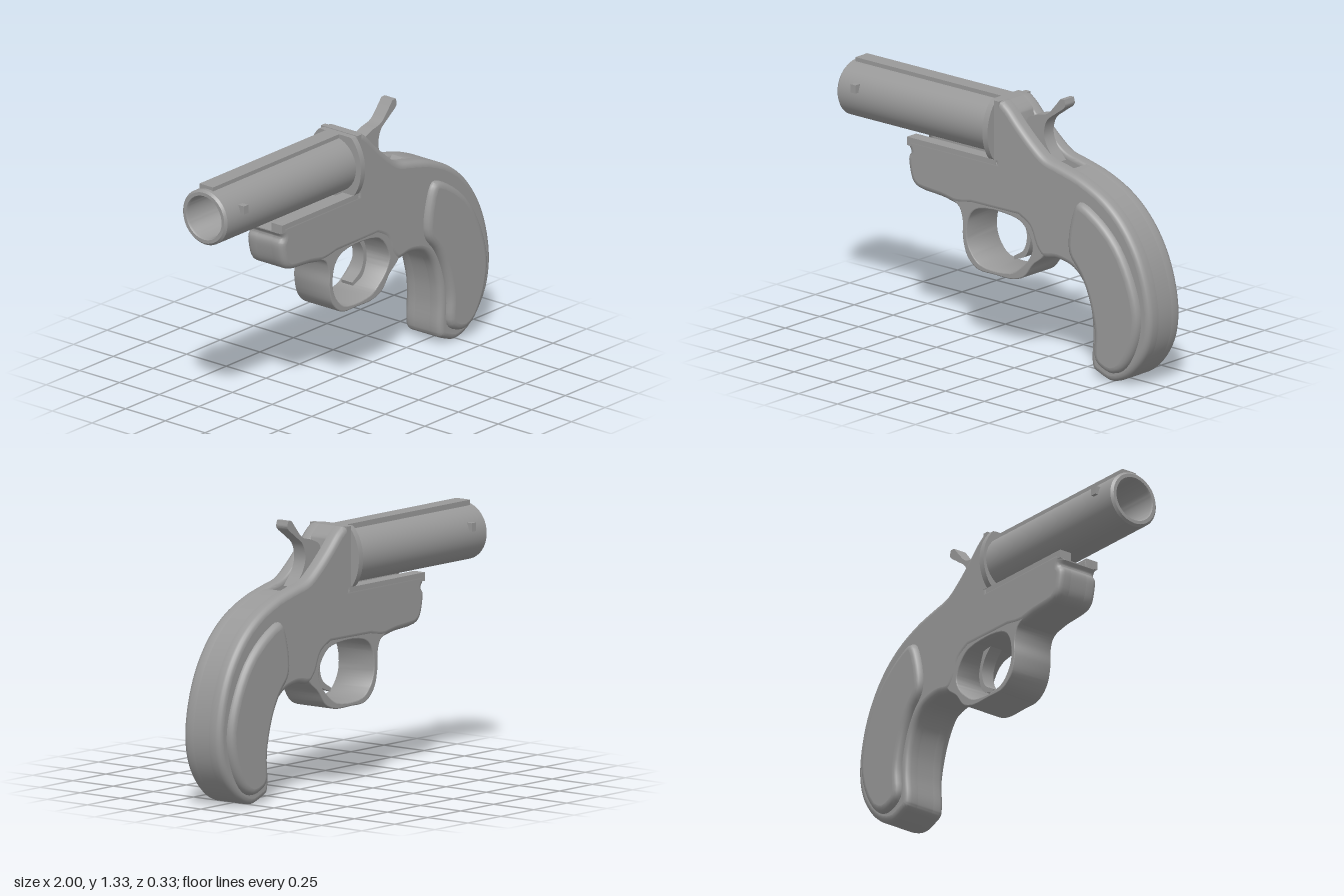
import * as THREE from 'three';
import { toCreasedNormals } from 'three/addons/utils/BufferGeometryUtils.js';

const material = new THREE.MeshStandardMaterial({ color: 0x999999, side: THREE.DoubleSide });
const vec = (list) => list.map(([x, y]) => new THREE.Vector2(x, y));

// Closed smooth outline or open smooth run through a few points
function smooth(list, closed = false, perPoint = 5) {
  const curve = new THREE.CatmullRomCurve3(list.map(([x, y]) => new THREE.Vector3(x, y, 0)), closed);
  const pts = curve.getPoints(list.length * perPoint).map((p) => new THREE.Vector2(p.x, p.y));
  if (closed) pts.pop();
  return pts;
}

// Extrudes an outline between z0 and z1 with rounded edges kept inside it
function slab(points, z0, z1, bevel = 0, hole = null) {
  const shape = new THREE.Shape(points);
  if (hole) shape.holes.push(new THREE.Path(hole));
  const flat = new THREE.ExtrudeGeometry(shape, {
    depth: z1 - z0 - 2 * bevel, bevelEnabled: bevel > 0, bevelThickness: bevel,
    bevelSize: bevel, bevelOffset: -bevel, bevelSegments: 4,
  });
  const geometry = toCreasedNormals(flat.clone(), 0.6);
  // The flat caps keep their straight normals
  const { start, count } = flat.groups[0];
  for (let i = start; i < start + count; i++) {
    geometry.attributes.normal.setXYZ(i, 0, 0, Math.sign(flat.attributes.normal.getZ(i)));
  }
  return geometry.translate(0, 0, z0 + bevel);
}

export function createModel() {
  const model = new THREE.Group();
  const add = (name, geometry) => {
    const mesh = new THREE.Mesh(geometry, material);
    mesh.name = name;
    model.add(mesh);
    return mesh;
  };
  const box = (name, x0, x1, y0, y1, z0, z1) => add(name, new THREE.BoxGeometry(x1 - x0, y1 - y0, z1 - z0)
    .translate((x0 + x1) / 2, (y0 + y1) / 2, (z0 + z1) / 2));

  // Frame outline: breech, back strap, butt, grip front, underside, fore end
  const outline = [
    ...vec([[0, 0.967], [0, 1.265]]),
    ...smooth([[0.045, 1.265], [0.085, 1.235], [0.15, 1.17], [0.24, 1.09], [0.32, 1.035], [0.42, 1.01],
      [0.55, 0.975], [0.7, 0.905], [0.82, 0.805], [0.92, 0.66], [0.98, 0.49], [0.997, 0.33],
      [0.97, 0.2], [0.9, 0.09], [0.82, 0.025], [0.74, 0.002], [0.67, 0.022], [0.628, 0.045],
      [0.617, 0.085], [0.622, 0.22], [0.61, 0.34], [0.57, 0.45], [0.5, 0.52],
      [0.4, 0.545], [0.305, 0.535], [0.258, 0.58], [0.215, 0.67], [0.15, 0.708]]),
    ...smooth([[-0.15, 0.705], [-0.25, 0.69], [-0.34, 0.705], [-0.5, 0.722], [-0.535, 0.75],
      [-0.557, 0.82], [-0.56, 0.87], [-0.545, 0.895], [-0.56, 0.92]], false, 3),
    ...vec([[-0.56, 0.967]]),
  ];

  // Two side halves, rounded outside and flat against the core
  const core = 0.047;
  for (const side of [1, -1]) {
    const prefix = side > 0 ? 'front' : 'back';
    const half = slab(outline, 0, 0.115, 0.03);
    const pos = half.attributes.position;
    for (let i = 0; i < pos.count; i++) pos.setZ(i, Math.max(pos.getZ(i), core));
    add(prefix + 'FrameHalf', half).scale.z = side;
    // Square-edged rail beside the groove under the barrel
    box(prefix + 'BarrelRail', -0.56, 0.01, 0.925, 0.967, core, 0.114).scale.z = side;
  }
  box('breechPlate', 0, 0.03, 0.967, 1.265, -0.115, 0.115);

  // Core with the hammer slot and the groove under the barrel
  const coreOutline = [];
  let slotCut = false;
  for (const p of outline) {
    if (p.x > 0.11 && p.x < 0.45 && p.y > 0.95) {
      if (!slotCut) coreOutline.push(...vec([[0.11, 1.205], [0.13, 1.0], [0.4, 0.95], [0.45, 1.0]]));
      slotCut = true;
    } else {
      coreOutline.push(new THREE.Vector2(p.x, p.x <= 0 && p.y < 1 ? Math.min(p.y, 0.925) : p.y));
    }
  }
  add('frameCore', slab(coreOutline, -core, core));

  // Trigger guard ring
  const guardOuter = smooth([[-0.28, 0.715], [-0.228, 0.68], [-0.207, 0.62], [-0.206, 0.54], [-0.18, 0.45],
    [-0.115, 0.393], [0, 0.386], [0.12, 0.388], [0.19, 0.416], [0.245, 0.485], [0.31, 0.54], [0.34, 0.61],
    [0.28, 0.7], [0.1, 0.75], [-0.15, 0.75]], true);
  const guardHole = smooth([[-0.1, 0.698], [-0.16, 0.65], [-0.178, 0.54], [-0.148, 0.465], [-0.09, 0.417],
    [0.1, 0.416], [0.165, 0.455], [0.222, 0.515], [0.242, 0.575], [0.2, 0.66], [0.14, 0.698]], true);
  add('triggerGuard', slab(guardOuter, -0.112, 0.112, 0.006, guardHole));

  // Curved trigger
  add('trigger', slab([
    ...smooth([[0.06, 0.72], [0.11, 0.67], [0.14, 0.6], [0.12, 0.52], [0.055, 0.475]]),
    ...smooth([[0.06, 0.458], [0.13, 0.49], [0.162, 0.57], [0.155, 0.63], [0.12, 0.72]]),
  ], -0.035, 0.035));

  // Hammer with a thumb spur
  add('hammer', slab([
    ...smooth([[0.15, 1.0], [0.14, 1.18], [0.2, 1.215], [0.27, 1.235], [0.32, 1.285], [0.355, 1.327]]),
    ...smooth([[0.38, 1.328], [0.385, 1.295], [0.33, 1.25], [0.268, 1.2], [0.25, 1.13], [0.27, 1.07], [0.33, 1.0]]),
  ], -0.035, 0.035));

  // Grip panels
  const panel = smooth([[0.555, 0.868], [0.66, 0.83], [0.81, 0.7], [0.915, 0.5], [0.945, 0.34], [0.905, 0.18],
    [0.83, 0.075], [0.755, 0.052], [0.665, 0.1], [0.66, 0.25], [0.62, 0.41], [0.57, 0.51],
    [0.495, 0.61], [0.51, 0.78]], true, 4);
  for (const side of [1, -1]) {
    add(side > 0 ? 'frontGripPanel' : 'backGripPanel', slab(panel, 0.06, 0.149, 0.033)).scale.z = side;
  }

  // Hollow barrel, muzzle towards -x
  const barrelProfile = vec([[0, 0], [0.14, 0], [0.14, 0.988], [0.129, 1], [0.112, 1], [0.106, 0.99],
    [0.106, 0.05], [0, 0.05]]);
  const barrel = toCreasedNormals(new THREE.LatheGeometry(barrelProfile, 64), 0.6);
  add('barrel', barrel.rotateZ(Math.PI / 2).translate(0, 1.106, -0.008));
  box('topRib', -0.97, -0.02, 1.22, 1.262, -0.06, 0.025);
  box('frontSightPin', -0.89, -0.858, 1.13, 1.172, 0.1, 0.152);
  box('backSightPin', -0.89, -0.858, 1.13, 1.172, -0.162, -0.116);

  // Breech flange, cut flat at top and bottom
  const flange = [];
  for (let i = 0; i < 64; i++) {
    const a = (i / 64) * Math.PI * 2;
    const y = THREE.MathUtils.clamp(1.105 + 0.2 * Math.sin(a), 0.968, 1.262);
    flange.push(new THREE.Vector2(0.163 * Math.cos(a), y));
  }
  add('breechFlange', slab(flange, 0, 0.032).rotateY(-Math.PI / 2));

  return model;
}
